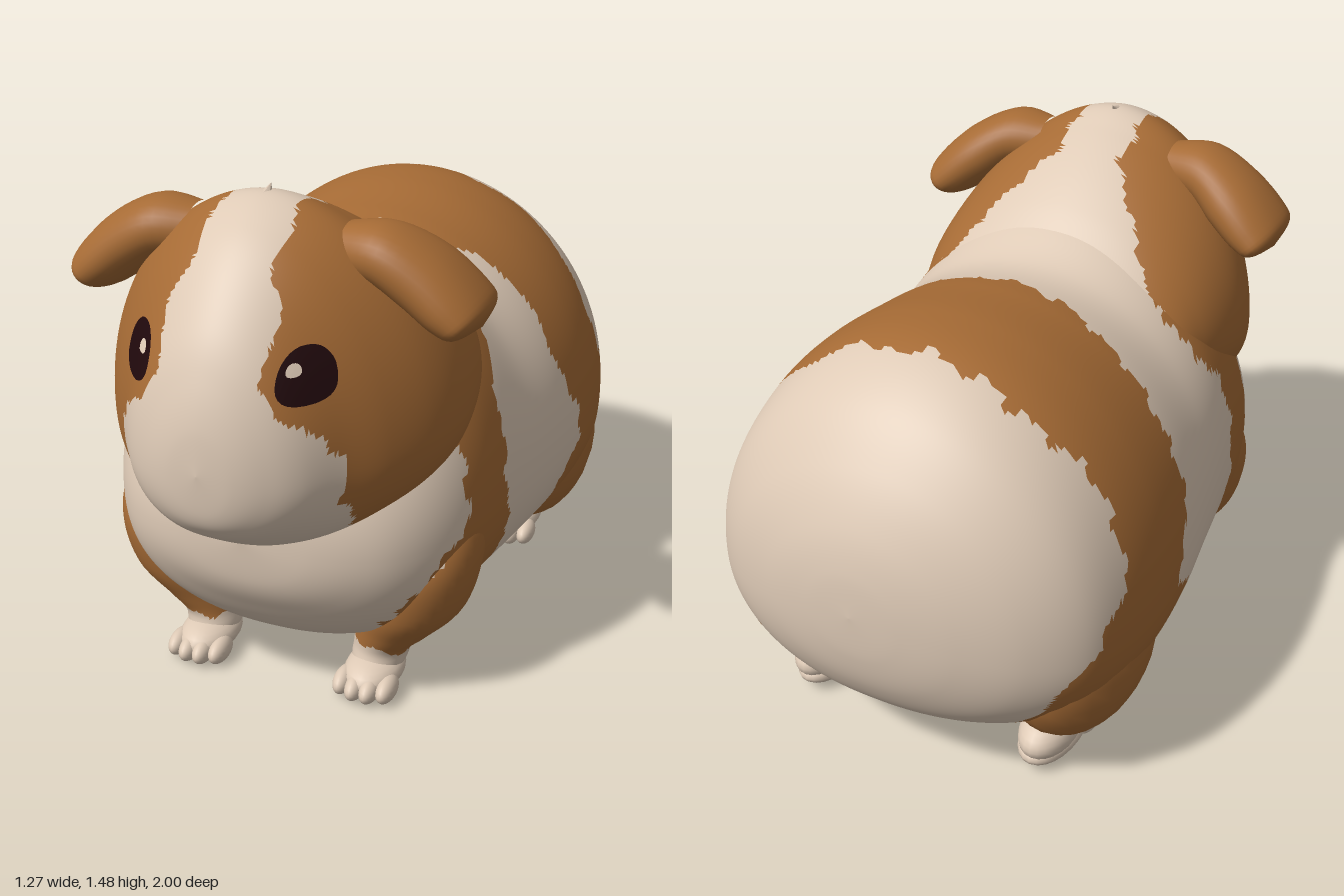
import * as THREE from 'three';

const cream = new THREE.MeshStandardMaterial({ color: 0xdecab6 });
cream.name = 'creamFur';
const brown = new THREE.MeshStandardMaterial({ color: 0xa66b35 });
brown.name = 'brownFur';
const dark = new THREE.MeshStandardMaterial({ color: 0x20090c });
dark.name = 'darkEye';

// Smooth interpolation through a table of rows, t in 0..1
function spline(rows, t) {
  const f = t * (rows.length - 1);
  const i = Math.min(Math.floor(f), rows.length - 2);
  const u = f - i;
  const at = (k) => rows[Math.max(0, Math.min(rows.length - 1, k))];
  return rows[0].map((_, c) => {
    const a = at(i - 1)[c], b = at(i)[c], d = at(i + 1)[c], e = at(i + 2)[c];
    return b + 0.5 * u * (d - a + u * (2 * a - 5 * b + 4 * d - e + u * (3 * (b - d) + e - a)));
  });
}

// Straight-line lookup: rows are [key, value, value...]
function lookup(rows, key, col = 1) {
  if (key <= rows[0][0]) return rows[0][col];
  for (let i = 1; i < rows.length; i++) {
    const a = rows[i - 1], b = rows[i];
    if (key <= b[0]) return a[col] + (b[col] - a[col]) * (key - a[0]) / (b[0] - a[0]);
  }
  return rows[rows.length - 1][col];
}

// Closed rings swept along t; isBrown splits the faces into two fur colours
function loft(name, point, nt, na, side, material, isBrown) {
  const pos = [], creamFaces = [], brownFaces = [];
  for (let i = 0; i <= nt; i++) {
    for (let j = 0; j < na; j++) {
      const p = point(i / nt, (j / na) * Math.PI * 2);
      pos.push(p[0] * side, p[1], p[2]);
    }
  }
  const addFace = (a, b, c) => {
    const mid = [0, 1, 2].map((k) => (pos[a * 3 + k] + pos[b * 3 + k] + pos[c * 3 + k]) / 3);
    const list = isBrown && isBrown(...mid) ? brownFaces : creamFaces;
    if (side > 0) list.push(a, b, c);
    else list.push(a, c, b);
  };
  for (let i = 0; i < nt; i++) {
    for (let j = 0; j < na; j++) {
      const k = (j + 1) % na;
      const a = i * na + j, b = i * na + k, c = (i + 1) * na + j, d = (i + 1) * na + k;
      addFace(a, b, c);
      addFace(b, d, c);
    }
  }
  const geo = new THREE.BufferGeometry();
  geo.setAttribute('position', new THREE.Float32BufferAttribute(pos, 3));
  geo.setIndex(creamFaces.concat(brownFaces));
  geo.computeVertexNormals();
  if (isBrown) {
    geo.addGroup(0, creamFaces.length, 0);
    geo.addGroup(creamFaces.length, brownFaces.length, 1);
  }
  const mesh = new THREE.Mesh(geo, isBrown ? [cream, brown] : material);
  mesh.name = name;
  return mesh;
}

// Body and head sections: [z, widest height, half width, top, bottom]
const bodyRows = [
  [-1, 0.62, 0, 0.62, 0.62], [-0.99, 0.61, 0.14, 0.75, 0.48], [-0.955, 0.58, 0.29, 0.87, 0.36],
  [-0.88, 0.55, 0.45, 1.0, 0.25], [-0.76, 0.52, 0.57, 1.13, 0.17], [-0.6, 0.5, 0.62, 1.21, 0.125],
  [-0.42, 0.5, 0.635, 1.222, 0.115], [-0.2, 0.51, 0.62, 1.195, 0.11], [0, 0.52, 0.59, 1.175, 0.1],
  [0.2, 0.54, 0.565, 1.25, 0.11], [0.36, 0.55, 0.545, 1.2, 0.12], [0.5, 0.55, 0.5, 1.08, 0.15],
  [0.62, 0.54, 0.425, 0.92, 0.23], [0.7, 0.54, 0.33, 0.8, 0.33], [0.755, 0.55, 0.19, 0.7, 0.43],
  [0.775, 0.57, 0, 0.57, 0.57],
];
const headRows = [
  [-0.05, 0.9, 0, 0.9, 0.9], [0, 0.9, 0.27, 1.13, 0.74], [0.1, 0.92, 0.41, 1.2, 0.7],
  [0.2, 0.92, 0.465, 1.285, 0.68], [0.32, 0.9, 0.495, 1.365, 0.65], [0.45, 0.88, 0.5, 1.43, 0.6],
  [0.57, 0.87, 0.465, 1.465, 0.56], [0.7, 0.86, 0.39, 1.415, 0.56], [0.8, 0.86, 0.31, 1.335, 0.585],
  [0.9, 0.85, 0.235, 1.21, 0.645], [0.955, 0.85, 0.165, 1.1, 0.69], [0.988, 0.86, 0.09, 0.99, 0.75],
  [1, 0.87, 0, 0.87, 0.87],
];
const HEAD_TOP = 1.06, HEAD_BOTTOM = 0.9;
const soft = (v, power) => Math.sign(v) * Math.abs(v) ** power;
const section = (rows, topPower, bottomPower) => (t, a) => {
  const [z, cy, rx, top, bottom] = spline(rows, t);
  const power = Math.sin(a) > 0 ? topPower : bottomPower;
  const s = soft(Math.sin(a), power);
  return [rx * soft(Math.cos(a), power), cy + s * (s > 0 ? top - cy : cy - bottom), z];
};

// Fur patches, as seen from the side: [y, rear z, front z]
const rumpPatch = [
  [0.1, -0.7, -0.45], [0.2, -0.78, -0.32], [0.3, -0.81, -0.2], [0.44, -0.82, -0.2], [0.5, -0.79, -0.33],
  [0.6, -0.7, -0.3], [0.66, -0.61, -0.23], [0.95, -0.58, -0.2], [1.1, -0.63, -0.17], [1.22, -0.61, -0.09],
];
const shoulderPatch = [
  [0.1, 0.32, 0.5], [0.2, 0.24, 0.6], [0.42, 0.18, 0.58], [0.5, 0.22, 0.52], [0.6, 0.23, 0.43],
  [0.8, 0.23, 0.45], [0.9, 0.16, 0.6], [1, 0.11, 2], [1.3, 0.1, 2],
];
// Half width of the pale blaze down the face, by height
const blaze = [
  [0.6, 0.33], [0.66, 0.3], [0.85, 0.31], [0.95, 0.28], [1, 0.2], [1.1, 0.14],
  [1.25, 0.14], [1.32, 0.105], [1.47, 0.085],
];
const ragged = (v) => 0.014 * Math.sin(v * 31) + 0.01 * Math.sin(v * 67 + 1);
const neckGap = (z) => 0.1 + Math.max(0, 0.36 - z) * 0.85;

function bodyIsBrown(x, y, z) {
  const ax = Math.abs(x), w = ragged(x + y);
  if (y < 0.12 || (y < 0.4 && ax < 0.32)) return false;
  if (z + w > lookup(rumpPatch, y, 1) && z + w < lookup(rumpPatch, y, 2)) return true;
  return ax > neckGap(z) + w && z + w > lookup(shoulderPatch, y, 1) && z + w < lookup(shoulderPatch, y, 2);
}
function headIsBrown(x, y, z) {
  const w = ragged(y + z) * 0.6;
  return y > 0.645 + w && z + w > lookup(shoulderPatch, y, 1) &&
    Math.abs(x) > Math.max(lookup(blaze, y), neckGap(z)) + w;
}
const legIsBrown = (x, y, z) => y > 0.135 + ragged(x) && z + ragged(y) < lookup(shoulderPatch, y, 2);

// Depth of the upper face surface at a given x and y
function faceDepth(x, y) {
  let lo = 0.5, hi = 1;
  for (let i = 0; i < 24; i++) {
    const t = (lo + hi) / 2;
    const [, cy, rx, top] = spline(headRows, t);
    const n = 2 / HEAD_TOP;
    if (Math.abs(x / rx) ** n + Math.abs((y - cy) / (top - cy)) ** n < 1) lo = t;
    else hi = t;
  }
  return spline(headRows, lo)[0];
}
// Thin disc laid on the face, narrower towards the top
const facePatch = (cx, cy, rx, ry, lift) => (t, a) => {
  const r = 1 - t, s = Math.sin(a);
  const x = cx + rx * r * (soft(Math.cos(a), 0.85) * (1 - 0.2 * s) - 0.15 * s);
  const y = cy + ry * r * soft(s, 0.85);
  return [x + lift * 0.7, y, faceDepth(x, y) + lift];
};

// Ear sections: [x, y, z, half thickness, half width, tilt]
const earRows = [
  [0.21, 1.33, 0.53, 0.07, 0.08, 0], [0.31, 1.33, 0.53, 0.08, 0.11, 0.15],
  [0.41, 1.275, 0.51, 0.085, 0.135, 0.55], [0.495, 1.205, 0.5, 0.077, 0.145, 0.78],
  [0.535, 1.172, 0.495, 0.055, 0.125, 0.8], [0.553, 1.155, 0.49, 0, 0, 0.8],
];
const earPoint = (t, a) => {
  const [x, y, z, thick, wide, tilt] = spline(earRows, t);
  const c = Math.cos(a) * thick;
  return [x + c * Math.sin(tilt), y + c * Math.cos(tilt), z + wide * soft(Math.sin(a), 0.9)];
};

// Foreleg rings: [x, y, z, x radius, z radius]
const legRows = [
  [0.37, 0.68, 0.32, 0, 0], [0.38, 0.64, 0.33, 0.09, 0.1], [0.4, 0.54, 0.36, 0.13, 0.16],
  [0.395, 0.42, 0.39, 0.145, 0.19], [0.36, 0.28, 0.4, 0.145, 0.17], [0.305, 0.18, 0.395, 0.115, 0.135],
  [0.27, 0.12, 0.41, 0.085, 0.1], [0.26, 0.06, 0.43, 0.07, 0.085], [0.26, 0.03, 0.44, 0, 0],
];
const legPoint = (t, a) => {
  const [x, y, z, rx, rz] = spline(legRows, t);
  return [x + rx * Math.cos(a), y, z + rz * Math.sin(a)];
};

function blob(name, material, x, y, z, rx, ry, rz) {
  const mesh = new THREE.Mesh(new THREE.SphereGeometry(1, 24, 14), material);
  mesh.name = name;
  mesh.position.set(x, y, z);
  mesh.scale.set(rx, ry, rz);
  return mesh;
}

// Foot with four toes
function foot(name, side, x, z, length) {
  const group = new THREE.Group();
  group.name = name;
  group.add(blob('sole', cream, side * x, 0.052, z, 0.083, 0.052, length));
  for (let i = 0; i < 4; i++) {
    const k = i - 1.5;
    const reach = length * 0.8 - Math.abs(k) * 0.018;
    group.add(blob('toe', cream, side * x + k * 0.043, 0.038, z + reach, 0.028, 0.036, 0.06));
  }
  return group;
}

export function createModel() {
  const model = new THREE.Group();
  model.name = 'guineaPig';
  model.add(loft('body', section(bodyRows, 1, 0.88), 180, 170, 1, cream, bodyIsBrown));
  model.add(loft('head', section(headRows, HEAD_TOP, HEAD_BOTTOM), 140, 140, 1, cream, headIsBrown));

  // Tuft on the crown
  const tuft = new THREE.Mesh(new THREE.ConeGeometry(0.03, 0.07, 8), cream);
  tuft.name = 'crownTuft';
  tuft.position.set(0, 1.455, 0.56);
  tuft.rotation.x = -0.9;
  model.add(tuft);

  for (const side of [1, -1]) {
    const label = side > 0 ? 'left' : 'right';
    model.add(loft(label + 'Ear', earPoint, 24, 32, side, brown));
    model.add(loft(label + 'Eye', facePatch(0.222, 1.112, 0.056, 0.068, 0.006), 6, 28, side, dark));
    model.add(loft(label + 'EyeGlint', facePatch(0.196, 1.13, 0.015, 0.016, 0.01), 2, 14, side, cream));
    model.add(loft(label + 'Foreleg', legPoint, 48, 40, side, cream, legIsBrown));
    model.add(foot(label + 'Forefoot', side, 0.26, 0.46, 0.125));
    model.add(blob(label + 'Haunch', brown, side * 0.425, 0.38, -0.52, 0.195, 0.27, 0.295));
    model.add(blob(label + 'Ankle', cream, side * 0.375, 0.09, -0.59, 0.08, 0.07, 0.135));
    model.add(foot(label + 'Hindfoot', side, 0.37, -0.565, 0.155));
  }
  return model;
}
